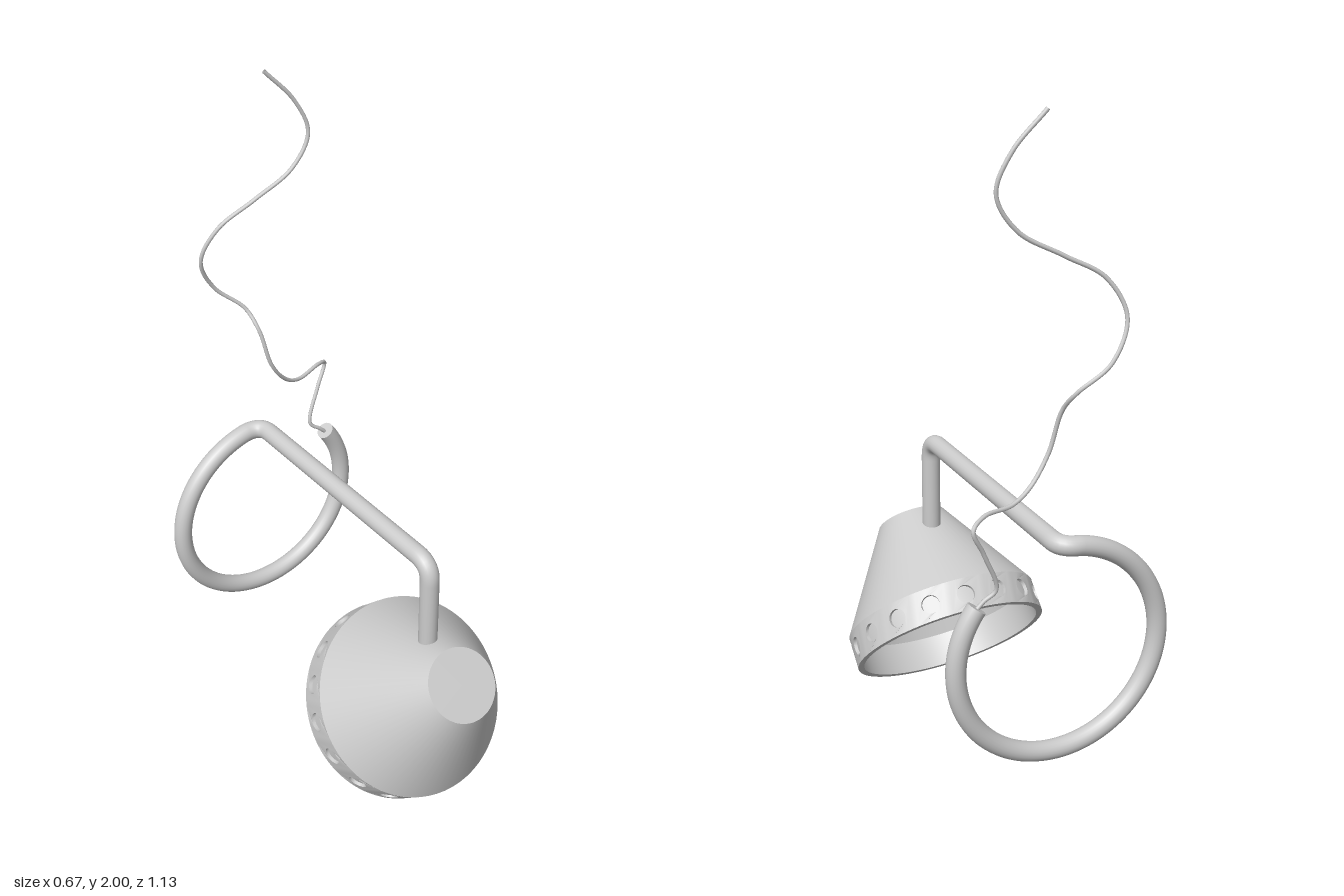
import * as THREE from 'three';
import { mergeGeometries, toCreasedNormals } from 'three/addons/utils/BufferGeometryUtils.js';

const material = new THREE.MeshStandardMaterial({ color: 0xcccccc });
const doubleSided = new THREE.MeshStandardMaterial({ color: 0xcccccc, side: THREE.DoubleSide });
const V = (x, y, z) => new THREE.Vector3(x, y, z);

function part(name, geometry, mat = material) {
  const mesh = new THREE.Mesh(geometry, mat);
  mesh.name = name;
  return mesh;
}

function lathe(profile, segments) {
  const points = profile.map(([r, y]) => new THREE.Vector2(r, y));
  return toCreasedNormals(new THREE.LatheGeometry(points, segments), 0.4);
}

// Cylindrical band with a row of round recesses, bent from flat pierced tiles
function piercedBand(radius, height, depth, count, holeRadius) {
  const step = (Math.PI * 2) / count;
  const half = (step * radius) / 2;
  const n = 6;
  const outline = [];
  for (let i = 0; i <= n; i++) outline.push(new THREE.Vector2(-half + (2 * half * i) / n, 0));
  for (let i = n; i >= 0; i--) outline.push(new THREE.Vector2(-half + (2 * half * i) / n, height));
  const tile = new THREE.Shape(outline);
  const hole = new THREE.Path();
  hole.absarc(0, height / 2, holeRadius, 0, Math.PI * 2, true);
  tile.holes.push(hole);

  const tiles = [];
  for (let k = 0; k < count; k++) {
    const geo = new THREE.ExtrudeGeometry(tile, { depth, bevelEnabled: false, curveSegments: 10 });
    const p = geo.attributes.position;
    for (let i = 0; i < p.count; i++) {
      const a = p.getX(i) / radius + k * step;
      const r = radius - depth + p.getZ(i);
      p.setXYZ(i, r * Math.cos(a), p.getY(i), -r * Math.sin(a));
    }
    tiles.push(geo);
  }
  return toCreasedNormals(mergeGeometries(tiles), 0.6);
}

function createShade() {
  const shade = new THREE.Group();
  shade.name = 'shade';
  // Hollow cone: inner wall down, rim, recess floor, outer wall up
  shade.add(part('shadeShell', lathe([
    [0, 0.4], [0.098, 0.4], [0.282, 0.1], [0.282, 0],
    [0.291, 0], [0.291, 0.1], [0.301, 0.1], [0.109, 0.416], [0, 0.416],
  ], 64)));
  shade.add(part('rimBand', piercedBand(0.301, 0.1, 0.011, 17, 0.028)));

  // Socket and bulb
  const socket = part('socket', new THREE.CylinderGeometry(0.05, 0.05, 0.14, 32));
  socket.position.y = 0.335;
  const bulb = part('bulb', new THREE.SphereGeometry(0.08, 32, 24));
  bulb.position.y = 0.19;
  shade.add(socket, bulb);

  shade.position.set(0, 0.225, 0.188);
  shade.rotation.x = 0.803;
  return shade;
}

function createFrame() {
  const frame = new THREE.Group();
  frame.name = 'frame';
  const tube = 0.028, R = 0.305, cy = 0.547, top = cy + R, back = -0.515, front = 0.329;
  const start = Math.PI / 2 + 0.18, end = Math.PI * 2 + 0.64;
  const onRing = (a) => V(R * Math.cos(a), cy + R * Math.sin(a), back);

  // Drop stem, bend, horizontal arm, turn into the ring
  const path = new THREE.CurvePath();
  path.add(new THREE.LineCurve3(V(0, 0.55, front), V(0, top - 0.06, front)));
  path.add(new THREE.QuadraticBezierCurve3(V(0, top - 0.06, front), V(0, top, front), V(0, top, front - 0.06)));
  path.add(new THREE.LineCurve3(V(0, top, front - 0.06), V(0, top, back + 0.05)));
  path.add(new THREE.QuadraticBezierCurve3(V(0, top, back + 0.05), V(0, top, back), onRing(start)));
  // Open ring
  const arc = new THREE.Curve();
  arc.getPoint = (t, target = V(0, 0, 0)) => target.copy(onRing(start + (end - start) * t));
  path.add(arc);
  frame.add(part('armAndRing', new THREE.TubeGeometry(path, 320, tube, 20)));

  // Caps on both tube ends
  const capGeometry = new THREE.CircleGeometry(tube, 20);
  const ringCap = part('ringEndCap', capGeometry, doubleSided);
  ringCap.position.copy(onRing(end));
  ringCap.lookAt(onRing(end).add(V(-Math.sin(end), Math.cos(end), 0)));
  const stemCap = part('stemEndCap', capGeometry, doubleSided);
  stemCap.position.set(0, 0.55, front);
  stemCap.rotation.x = Math.PI / 2;
  frame.add(ringCap, stemCap);
  return frame;
}

function createCord() {
  // Loose cord rising from the open end of the ring
  const points = [
    [0.255, 0.715, -0.515], [0.225, 0.745, -0.516], [0.193, 0.775, -0.524], [0.235, 0.89, -0.538],
    [0.268, 0.965, -0.545], [0.225, 0.988, -0.52], [0.13, 0.988, -0.488], [0.07, 1.02, -0.47],
    [0.012, 1.1, -0.458], [-0.014, 1.22, -0.479], [-0.03, 1.28, -0.525], [-0.11, 1.36, -0.56],
    [-0.157, 1.47, -0.547], [-0.11, 1.57, -0.52], [0, 1.635, -0.498], [0.12, 1.705, -0.481],
    [0.175, 1.8, -0.476], [0.14, 1.9, -0.488], [0.055, 2, -0.507],
  ].map((p) => V(...p));
  return part('cord', new THREE.TubeGeometry(new THREE.CatmullRomCurve3(points), 240, 0.006, 8), doubleSided);
}

export function createModel() {
  const model = new THREE.Group();
  model.name = 'hangingLamp';
  model.add(createShade(), createFrame(), createCord());
  return model;
}
